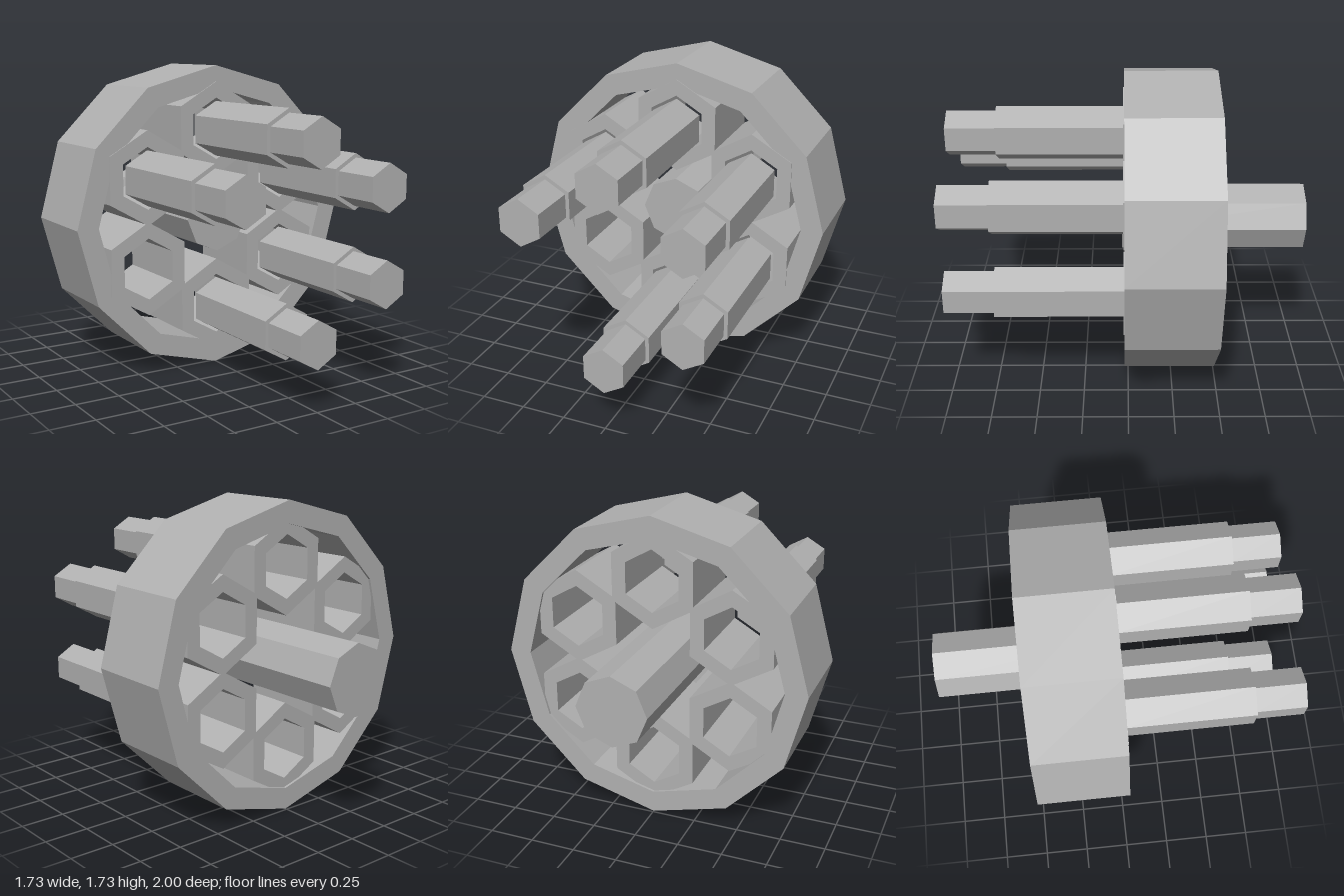
import * as THREE from 'three';

const CENTRE_Y = 0.865;

// Regular polygon outline with one corner pointing up
function polygon(PathType, sides, radius) {
  const points = [];
  for (let i = 0; i < sides; i++) {
    const a = Math.PI / 2 + (i * 2 * Math.PI) / sides;
    points.push(new THREE.Vector2(Math.cos(a) * radius, Math.sin(a) * radius));
  }
  return new PathType(points);
}

// Polygonal prism along z, hollow when an inner radius is given
function prism(sides, radius, inner, zBack, zFront) {
  const shape = polygon(THREE.Shape, sides, radius);
  if (inner) shape.holes.push(polygon(THREE.Path, sides, inner));
  const geometry = new THREE.ExtrudeGeometry(shape, { depth: zFront - zBack, bevelEnabled: false });
  return geometry.translate(0, 0, zBack);
}

export function createModel() {
  const model = new THREE.Group();
  model.name = 'cylinderCluster';
  const metal = new THREE.MeshStandardMaterial({ color: 0xb0b0b0, flatShading: true });
  metal.name = 'grey metal';

  const add = (name, geometry, x = 0, y = 0) => {
    const mesh = new THREE.Mesh(geometry, metal);
    mesh.name = name;
    mesh.position.set(x, CENTRE_Y + y, 0);
    model.add(mesh);
  };

  // Outer twelve-sided ring and central eight-sided axle
  add('outerRing', prism(12, 0.865, 0.74, -0.49, 0.02));
  add('axle', prism(8, 0.195, 0, -1, 0.035));

  // Six hexagonal sockets; all but the lower one at -x hold a stepped rod
  const socket = prism(6, 0.265, 0.174, -0.475, 0.026);
  const rodBody = prism(6, 0.155, 0, 0.02, 0.725);
  const rodTip = prism(6, 0.131, 0, 0.725, 1);
  for (let i = 0; i < 6; i++) {
    const a = Math.PI / 2 + (i * Math.PI) / 3;
    const x = Math.cos(a) * 0.51;
    const y = Math.sin(a) * 0.51;
    add('socket', socket, x, y);
    if (i === 2) continue;
    add('rodBody', rodBody, x, y);
    add('rodTip', rodTip, x, y);
  }
  return model;
}
